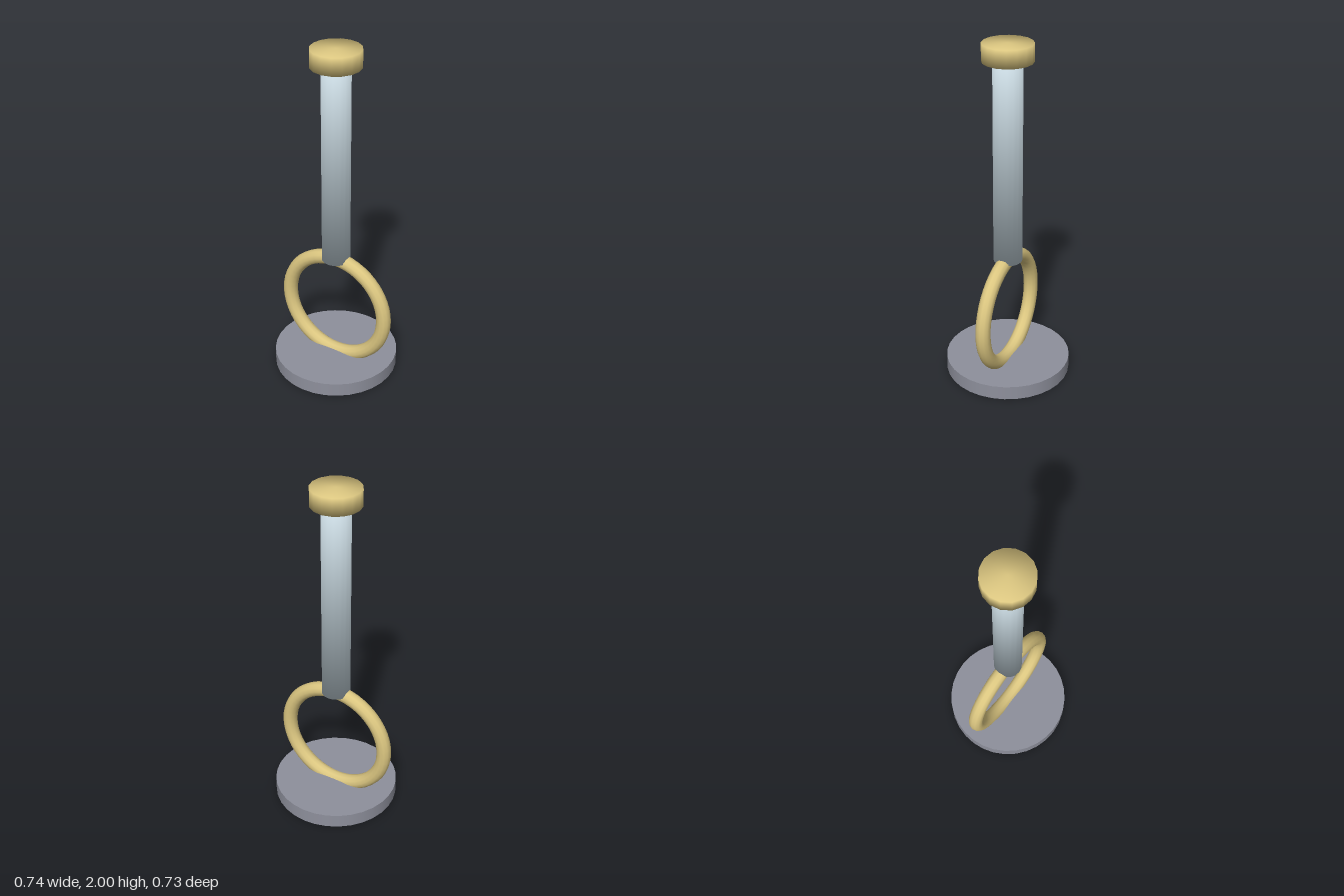
import * as THREE from 'three';

const gold = new THREE.MeshStandardMaterial({ color: 0xdbc680 });
gold.name = 'gold';
const paleBlue = new THREE.MeshStandardMaterial({ color: 0xc8d8e0 });
paleBlue.name = 'paleBlue';
const grey = new THREE.MeshStandardMaterial({ color: 0x8e909c });
grey.name = 'grey';

// Upright cylinder between two heights
function cylinder(name, material, radius, bottom, top, sides) {
  const geometry = new THREE.CylinderGeometry(radius, radius, top - bottom, sides);
  const mesh = new THREE.Mesh(geometry, material);
  mesh.name = name;
  mesh.position.y = (bottom + top) / 2;
  return mesh;
}

// Blend the shading over the rims, so the ends look rounded
function softenRims(mesh) {
  const { position, normal } = mesh.geometry.attributes;
  const radius = mesh.geometry.parameters.radiusTop;
  const n = new THREE.Vector3();
  for (let i = 0; i < position.count; i++) {
    n.set(position.getX(i) / radius, Math.sign(position.getY(i)), position.getZ(i) / radius).normalize();
    normal.setXYZ(i, n.x, n.y, n.z);
  }
  return mesh;
}

export function createModel() {
  const model = new THREE.Group();
  model.name = 'ringHandledRod';

  // Flat round foot
  model.add(cylinder('base', grey, 0.366, 0, 0.083, 32));

  // Upright ring, sunk slightly into the base
  const ring = new THREE.Mesh(new THREE.TorusGeometry(0.325, 0.043, 12, 48), gold);
  ring.name = 'ring';
  ring.position.y = 0.388;
  model.add(ring);

  // Long rod standing on the ring
  model.add(softenRims(cylinder('shaft', paleBlue, 0.083, 0.715, 1.92, 16)));

  // Wider knob on the end
  model.add(softenRims(cylinder('endCap', gold, 0.142, 1.9, 2, 16)));

  return model;
}
